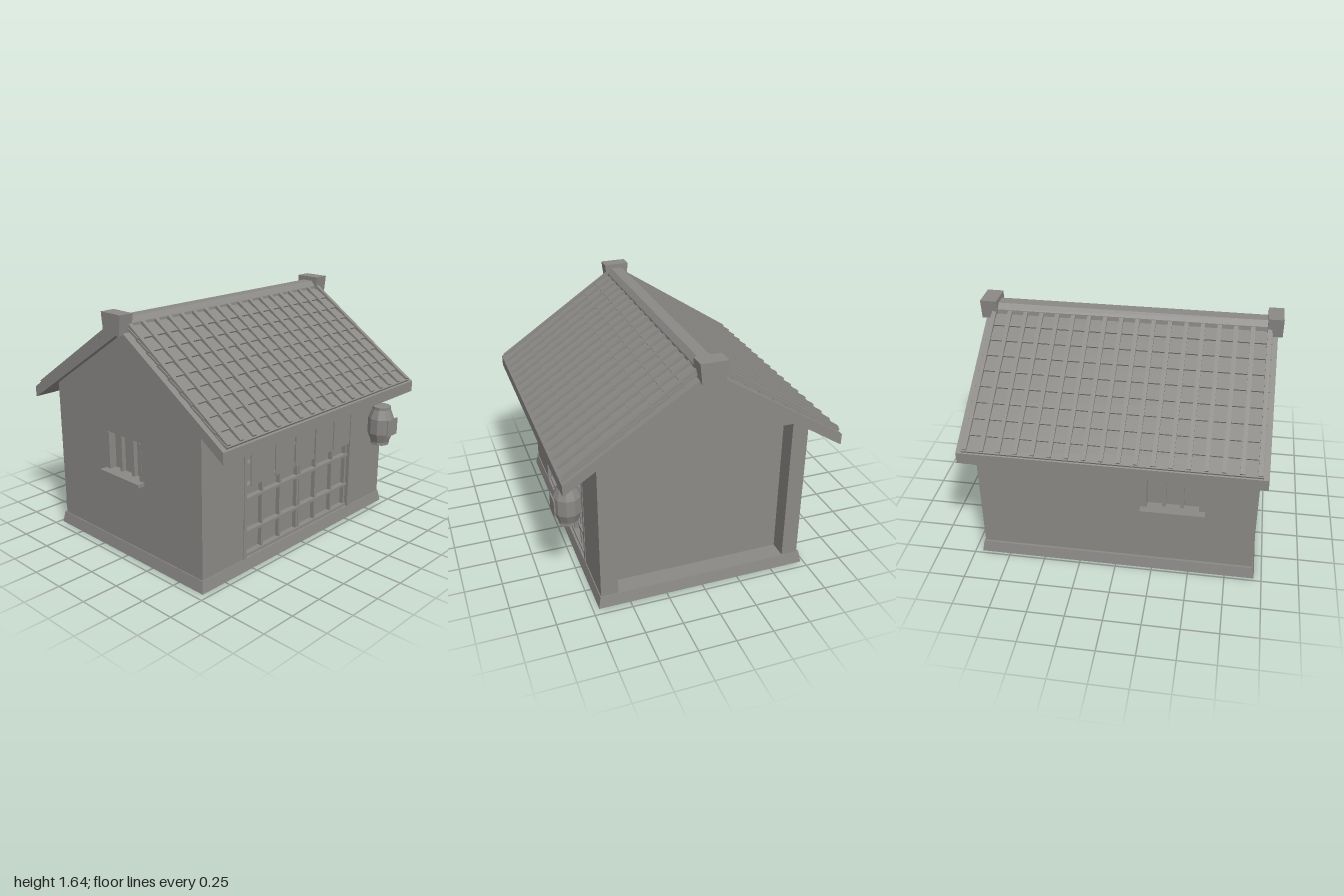
import * as THREE from 'three';

const stone = new THREE.MeshStandardMaterial({ color: 0x8b8986 });
stone.name = 'warm grey';

export function createModel() {
  const root = new THREE.Group();
  root.name = 'smallHouse';

  const add = (name, geo, parent = root) => {
    const m = new THREE.Mesh(geo, stone);
    m.name = name;
    parent.add(m);
    return m;
  };
  const group = (name) => {
    const g = new THREE.Group();
    g.name = name;
    root.add(g);
    return g;
  };
  // Box given by its limits on each axis
  const box = (name, x0, x1, y0, y1, z0, z1, parent) =>
    add(name, new THREE.BoxGeometry(x1 - x0, y1 - y0, z1 - z0)
      .translate((x0 + x1) / 2, (y0 + y1) / 2, (z0 + z1) / 2), parent);
  const vecs = (pts) => pts.map(([x, y]) => new THREE.Vector2(x, y));
  const rect = (x0, x1, y0, y1) => [[x0, y0], [x1, y0], [x1, y1], [x0, y1]];
  // Extruded outline with optional holes
  const slab = (outline, holes, depth) => {
    const s = new THREE.Shape(vecs(outline));
    holes.forEach((h) => s.holes.push(new THREE.Path(vecs(h))));
    return new THREE.ExtrudeGeometry(s, { depth, bevelEnabled: false });
  };
  // Outline drawn in (z, y), extruded from x0 to x1
  const sideSlab = (outline, holes, x0, x1) =>
    slab(outline, holes, x1 - x0).rotateY(-Math.PI / 2).translate(x1, 0, 0);

  // Plinth: hollow ring, narrower at the top
  const ring = slab(rect(-0.95, 0.95, -0.72, 0.72), [rect(-0.83, 0.83, -0.6, 0.6)], 0.08)
    .rotateX(-Math.PI / 2);
  const p = ring.attributes.position;
  for (let i = 0; i < p.count; i++) {
    if (p.getY(i) > 0.04 && Math.abs(p.getX(i)) > 0.9) {
      p.setX(i, p.getX(i) * 0.985);
      p.setZ(i, p.getZ(i) * 0.98);
    }
  }
  ring.computeVertexNormals();
  add('plinth', ring.translate(0, 0, -0.01));
  box('floor', -0.88, 0.88, 0.06, 0.08, -0.66, 0.64);

  // Walls
  const gable = [[-0.7, 0.08], [0.69, 0.08], [0.69, 1.06], [0, 1.52], [-0.7, 1.06]];
  add('leftGableWall', sideSlab(gable, [rect(-0.59, 0.575, 0.081, 1.1)], 0.81, 0.93));
  box('leftRecessPanel', 0.79, 0.81, 0.08, 1.12, -0.6, 0.6);
  add('rightGableWall', sideSlab(gable, [rect(-0.18, 0.14, 0.565, 0.83)], -0.93, -0.81));
  add('frontWall', slab(rect(-0.815, 0.815, 0.08, 1.07),
    [rect(-0.56, 0.56, 0.081, 0.94)], 0.11).translate(0, 0, 0.58));
  add('backWall', slab(rect(-0.815, 0.815, 0.08, 1.07),
    [rect(-0.56, -0.2, 0.51, 0.77)], 0.11).translate(0, 0, -0.7));

  // Barred windows, built facing +z and turned to their wall
  const makeWindow = (name, half, x, y, z, turn) => {
    const w = group(name);
    box('pane', -half, half, 0, 0.26, -0.07, -0.05, w);
    for (const s of [-1, 1]) {
      box('frameSide', s * half - 0.012, s * half + 0.012, 0, 0.26, -0.05, 0.002, w);
      box('bar', s * 0.06 - 0.012, s * 0.06 + 0.012, 0, 0.26, -0.05, -0.02, w);
    }
    box('sill', -half - 0.03, half + 0.03, -0.02, 0.004, -0.05, 0.052, w);
    w.position.set(x, y, z);
    w.rotation.y = turn;
  };
  makeWindow('backWindow', 0.185, -0.38, 0.51, -0.7, Math.PI);
  makeWindow('sideWindow', 0.16, -0.93, 0.565, -0.02, -Math.PI / 2);

  // Sliding lattice doors
  const doors = group('latticeDoors');
  box('doorPanel', -0.56, 0.56, 0.08, 0.94, 0.61, 0.64, doors);
  for (const x of [-0.53, -0.365, -0.19, -0.012, 0.012, 0.185, 0.37, 0.53])
    box('doorStile', x - 0.009, x + 0.009, 0.08, 0.94, 0.635, 0.67, doors);
  for (const y of [0.09, 0.25, 0.48, 0.57, 0.715])
    box('doorRail', -0.55, 0.55, y - 0.009, y + 0.009, 0.635, 0.68, doors);
  for (const s of [-1, 1])
    box('doorJamb', s * 0.553 - 0.012, s * 0.553 + 0.012, 0.08, 0.94, 0.62, 0.695, doors);

  // Split curtain above the doors
  const curtain = group('curtain');
  const cuts = [-0.54, -0.31, -0.11, 0.1, 0.3, 0.5];
  for (let i = 0; i < 5; i++)
    box('curtainFlap', cuts[i] + 0.008, cuts[i + 1] - 0.008, 0.59, 0.92, 0.714, 0.722, curtain);
  box('curtainRod', -0.56, 0.56, 0.92, 0.94, 0.69, 0.725, curtain);

  // Lantern with a thin front label
  const lantern = group('lantern');
  const profile = [[0, 0.56], [0.065, 0.56], [0.065, 0.58], [0.09, 0.645], [0.09, 0.755],
    [0.065, 0.82], [0.065, 0.84], [0, 0.84]];
  const body = new THREE.LatheGeometry(vecs(profile), 10).toNonIndexed();
  body.computeVertexNormals();
  add('lanternBody', body.translate(0.72, 0, 0.825), lantern);
  box('lanternLabel', 0.66, 0.78, 0.64, 0.76, 0.915, 0.923, lantern);

  // Roof slab
  add('roofSlab', sideSlab([[0.905, 0.91], [0.905, 0.985], [0, 1.565], [-0.925, 0.985],
    [-0.925, 0.91], [-0.89, 0.93], [0, 1.5], [0.875, 0.93]], [], -0.97, 0.97));

  // Tile courses and ribs on both slopes
  for (const s of [1, -1]) {
    const g = group(s > 0 ? 'frontTiles' : 'backTiles');
    const end = s > 0 ? 0.89 : 0.915;
    const a = new THREE.Vector2(0.06, 1.56);
    const b = new THREE.Vector2(end, 1.0);
    const len = a.distanceTo(b);
    const angle = Math.atan2(a.y - b.y, b.x - a.x);
    const rows = 9;
    for (let i = 0; i < rows; i++) {
      const c = a.clone().lerp(b, (i + 0.5) / rows);
      const m = add('tileCourse', new THREE.BoxGeometry(1.87, 0.014, len / rows + 0.012), g);
      m.position.set(0, c.y - 0.004, s * c.x);
      m.rotation.x = s * (angle - 0.1);
    }
    for (let i = 0; i < 18; i++) {
      const m = add('tileRib', new THREE.BoxGeometry(0.028, 0.034, len), g);
      m.position.set(-0.915 + i * 0.1075, (a.y + b.y) / 2 + 0.004, s * (a.x + b.x) / 2);
      m.rotation.x = s * angle;
    }
  }

  // Ridge cap and flared end blocks
  add('ridgeCap', sideSlab([[-0.085, 1.52], [0.065, 1.52], [0.06, 1.575], [0.03, 1.61],
    [-0.05, 1.61], [-0.08, 1.575]], [], -0.92, 0.92));
  const block = [[-0.085, 1.51], [0.065, 1.51], [0.08, 1.64], [-0.1, 1.64]];
  add('ridgeEndLeft', sideSlab(block, [], 0.89, 1));
  add('ridgeEndRight', sideSlab(block, [], -1, -0.9));

  return root;
}
